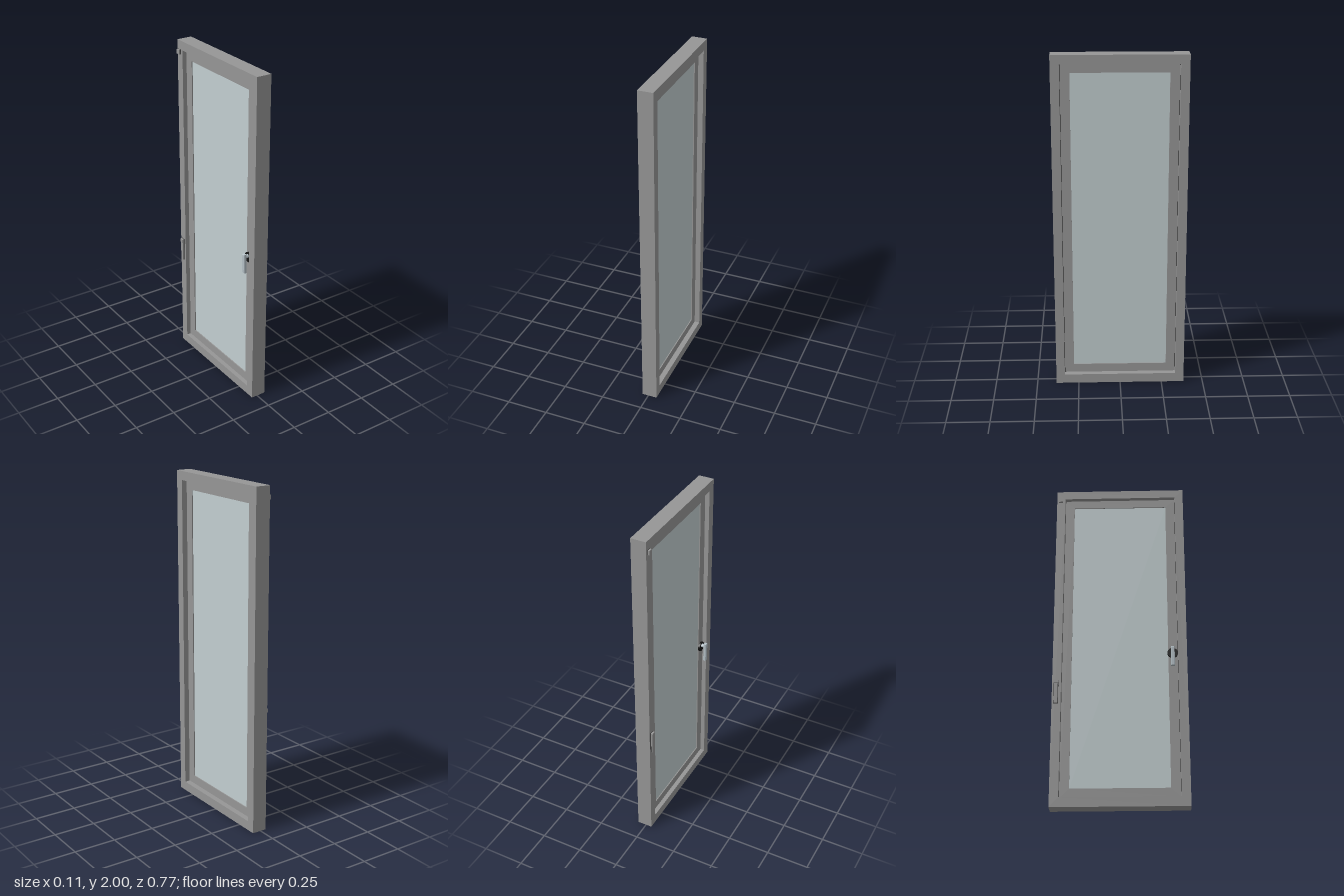
import * as THREE from 'three';

const material = (name, color) => {
  const m = new THREE.MeshStandardMaterial({ color });
  m.name = name;
  return m;
};

export function createModel() {
  const group = new THREE.Group();
  const grey = material('frame grey', 0x969696);
  const glass = material('pale glass', 0xc2ced0);
  const metal = material('brushed metal', 0xb4c0c6);
  const black = material('black', 0x151515);

  const add = (name, geometry, mat, x = 0, y = 0, z = 0) => {
    const mesh = new THREE.Mesh(geometry, mat);
    mesh.name = name;
    mesh.position.set(x, y, z);
    group.add(mesh);
    return mesh;
  };

  // Rectangular ring in the z-y plane, running from x0 to x1.
  // outer and inner are [half width, bottom, top].
  const corners = ([w, b, t]) => [[-w, b], [w, b], [w, t], [-w, t]].map(([x, y]) => new THREE.Vector2(x, y));
  const ring = (name, outer, inner, x0, x1, mat) => {
    const shape = new THREE.Shape(corners(outer));
    shape.holes.push(new THREE.Path(corners(inner).reverse()));
    const geometry = new THREE.ExtrudeGeometry(shape, { depth: x1 - x0, bevelEnabled: false });
    geometry.rotateY(Math.PI / 2);
    add(name, geometry, mat, x0);
  };

  // Fixed frame, thin seal and recessed sash
  ring('outerFrame', [0.385, 0, 2], [0.334, 0.056, 1.948], -0.037, 0.053, grey);
  ring('seal', [0.334, 0.056, 1.948], [0.331, 0.059, 1.945], -0.006, 0.018, black);
  ring('sash', [0.332, 0.058, 1.946], [0.278, 0.11, 1.895], -0.012, 0.022, grey);

  // Glazing
  add('glassPane', new THREE.BoxGeometry(0.022, 1.787, 0.558), glass, 0.005, 1.0025, 0);

  // Handle: round rose, neck and hanging lever
  const rose = add('handleRose', new THREE.CylinderGeometry(0.03, 0.03, 0.01, 32), black, -0.017, 0.91, 0.303);
  rose.rotation.z = Math.PI / 2;
  const neck = add('handleNeck', new THREE.CylinderGeometry(0.011, 0.011, 0.03, 20), metal, -0.035, 0.92, 0.303);
  neck.rotation.z = Math.PI / 2;
  const grip = new THREE.Shape(corners([0.008, 0.822, 0.935]));
  const leverGeometry = new THREE.ExtrudeGeometry(grip, {
    depth: 0.012, bevelThickness: 0.003, bevelSize: 0.003, bevelSegments: 1,
  });
  leverGeometry.rotateY(Math.PI / 2);
  add('handleLever', leverGeometry, metal, -0.052, 0, 0.303);

  // Hinges on the opposite stile
  add('topHinge', new THREE.BoxGeometry(0.014, 0.025, 0.025), grey, -0.044, 1.935, -0.362);
  add('lowerHingeCap', new THREE.BoxGeometry(0.014, 0.02, 0.025), grey, -0.044, 0.73, -0.362);
  add('lowerHinge', new THREE.BoxGeometry(0.01, 0.12, 0.02), grey, -0.042, 0.66, -0.362);
  for (const [name, y, h] of [['topHingePlate', 1.935, 0.027], ['lowerHingePlate', 0.67, 0.142]]) {
    add(name, new THREE.BoxGeometry(0.002, h, 0.026), black, -0.038, y, -0.362);
  }

  return group;
}
